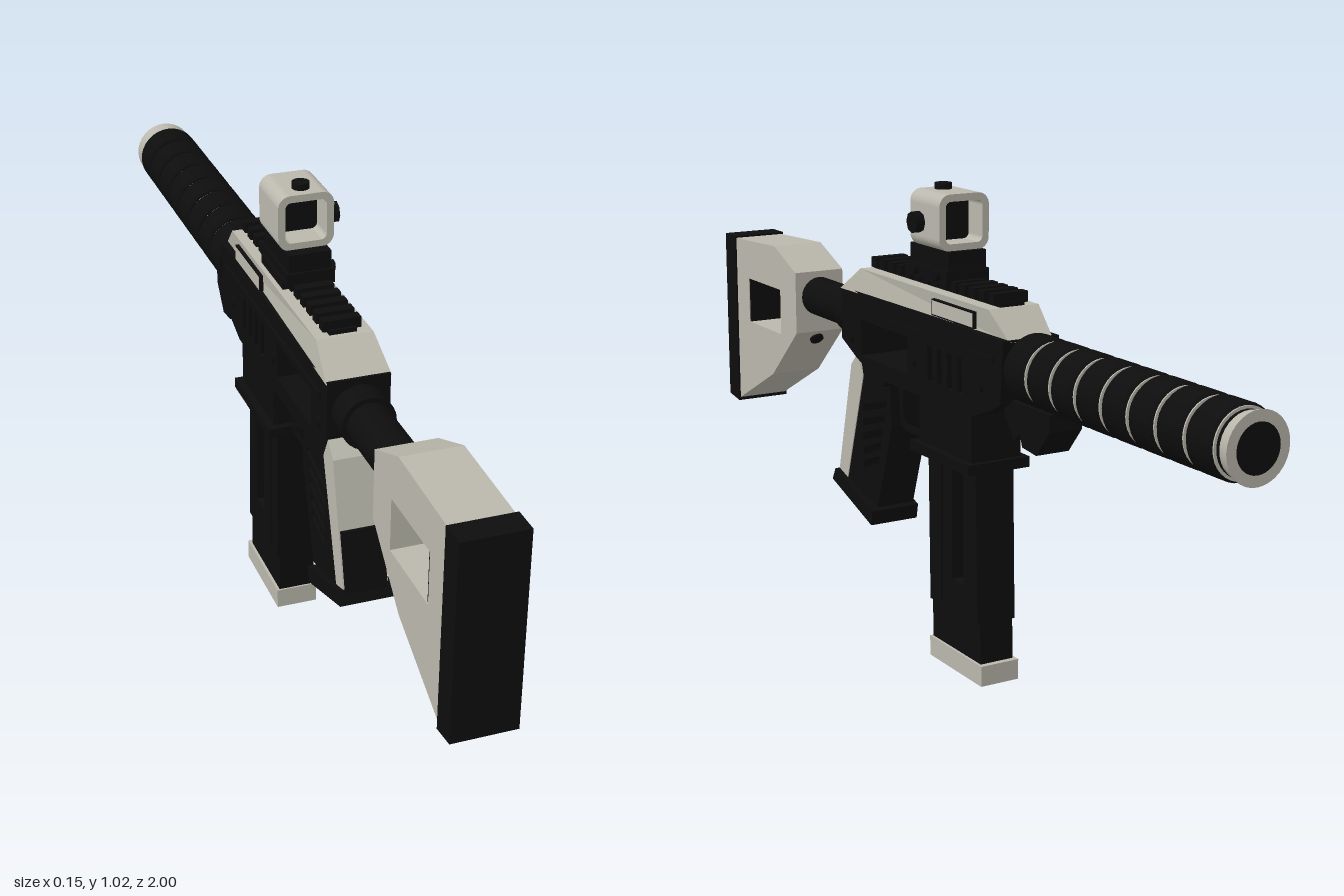
import * as THREE from 'three';

const black = new THREE.MeshStandardMaterial({ color: 0x0d0d0d });
black.name = 'matteBlack';
const light = new THREE.MeshStandardMaterial({ color: 0xbab8ac });
light.name = 'stoneGrey';

export function createModel() {
  const root = new THREE.Group();
  root.name = 'toyBlaster';

  const add = (name, geo, mat, x = 0, y = 0, z = 0) => {
    const m = new THREE.Mesh(geo, mat);
    m.name = name;
    m.position.set(x, y, z);
    root.add(m);
    return m;
  };
  const box = (name, mat, w, y0, y1, z0, z1, x = 0) =>
    add(name, new THREE.BoxGeometry(w, y1 - y0, z1 - z0), mat, x, (y0 + y1) / 2, (z0 + z1) / 2);
  // Side profile given as [z, y] points, extruded across x
  const slab = (w, pts, holes = []) => {
    const v = (a) => a.map(([z, y]) => new THREE.Vector2(z, y));
    const s = new THREE.Shape(v(pts));
    holes.forEach((h) => s.holes.push(new THREE.Path(v(h))));
    const g = new THREE.ExtrudeGeometry(s, { depth: w, bevelEnabled: false });
    return g.translate(0, 0, -w / 2).rotateY(-Math.PI / 2);
  };
  const rect = (z0, z1, y0, y1) => [[z0, y0], [z1, y0], [z1, y1], [z0, y1]];
  const rod = (name, mat, r0, r1, z0, z1, y, sides = 24) =>
    add(name, new THREE.CylinderGeometry(r0, r1, z1 - z0, sides).rotateX(-Math.PI / 2), mat, 0, y, (z0 + z1) / 2);

  // Shoulder stock with a window, dark lining and pad
  add('stock', slab(0.122, [[0.95, 0.375], [0.95, 0.78], [0.727, 0.79], [0.615, 0.743], [0.615, 0.6], [0.75, 0.476]],
    [rect(0.70, 0.877, 0.583, 0.69)]), light);
  box('stockWindowLining', black, 0.118, 0.584, 0.689, 0.87, 0.8775);
  add('buttPad', slab(0.13, [[0.945, 0.37], [1, 0.378], [1, 0.785], [0.945, 0.785]]), black);
  rod('stockLatch', black, 0.015, 0.015, 0.685, 0.72, 0.637, 12);
  const release = rod('stockRelease', black, 0.016, 0.016, -0.02, 0.02, 0, 12);
  release.position.set(0, 0.59, 0.645);
  release.rotation.x = -0.75;

  // Stock tube and collar
  rod('stockTube', black, 0.045, 0.045, 0.42, 0.63, 0.684);
  rod('stockCollar', black, 0.055, 0.055, 0.365, 0.432, 0.684);

  // Receiver with a long window and four vents
  const vents = [-0.02, -0.06, -0.1, -0.14].map((z) =>
    [[z - 0.01, 0.615], [z + 0.009, 0.615], [z + 0.011, 0.69], [z - 0.008, 0.69]]);
  add('receiver', slab(0.128, [[0.375, 0.752], [0.375, 0.635], [0.31, 0.605], [0.19, 0.56], [0.17, 0.575], [0.035, 0.575],
    [-0.18, 0.575], [-0.26, 0.605], [-0.295, 0.625], [-0.305, 0.752]],
    [rect(0.075, 0.285, 0.612, 0.692), ...vents]), black);
  for (const s of [1, -1]) {
    box('receiverRidge', black, 0.006, 0.7, 0.715, -0.27, 0.34, s * 0.066);
    for (const z of [0.33, 0.05, -0.22]) {
      add('receiverPin', new THREE.CylinderGeometry(0.012, 0.012, 0.01, 12).rotateZ(Math.PI / 2), black, s * 0.065, 0.645, z);
    }
  }

  // Upper cover, narrowed toward the top and the muzzle end
  const cover = slab(0.132, [[0.375, 0.748], [-0.305, 0.748], [-0.24, 0.803], [0.295, 0.803]]);
  const p = cover.attributes.position;
  for (let i = 0; i < p.count; i++) {
    const k = p.getY(i) > 0.78 ? 0.88 : p.getZ(i) < -0.3 ? 0.75 : 1;
    p.setX(i, p.getX(i) * k);
  }
  cover.computeVertexNormals();
  add('upperCover', cover, light);
  for (const s of [1, -1]) {
    box('coverInsetFrame', black, 0.008, 0.757, 0.791, -0.195, -0.03, s * 0.0615);
    box('coverInset', light, 0.008, 0.76, 0.788, -0.192, -0.033, s * 0.0625);
  }

  // Toothed top rail
  box('railBase', black, 0.056, 0.8, 0.812, -0.235, 0.285);
  for (let i = 0; i < 14; i++) {
    const z = 0.268 - i * 0.0375;
    box('railTooth', black, 0.078, 0.808, 0.83, z - 0.011, z + 0.011);
  }

  // Sight mount
  box('sightClamp', black, 0.1, 0.82, 0.85, -0.065, 0.1);
  box('sightRiser', black, 0.088, 0.845, 0.888, -0.062, 0.095);
  for (const z of [-0.03, 0.06]) {
    add('clampBolt', new THREE.CylinderGeometry(0.012, 0.012, 0.02, 8).rotateZ(Math.PI / 2), black, 0.052, 0.838, z);
  }
  box('clampJaw', black, 0.012, 0.812, 0.832, -0.05, 0.085, -0.048);

  // Sight housing: rounded square tube with dark lens and knobs
  const roundRect = (S, h, r) => {
    const s = new S();
    s.moveTo(-h + r, -h);
    for (const [x, y, a] of [[1, -1, -1], [1, 1, 0], [-1, 1, 1], [-1, -1, 2]]) {
      s.absarc(x * (h - r), y * (h - r), r, a * Math.PI / 2, (a + 1) * Math.PI / 2, false);
    }
    return s;
  };
  const frame = roundRect(THREE.Shape, 0.058, 0.025);
  frame.holes.push(roundRect(THREE.Path, 0.043, 0.012));
  add('sightHousing', new THREE.ExtrudeGeometry(frame, { depth: 0.12, bevelEnabled: false, curveSegments: 6 }), light, 0, 0.945, -0.05);
  box('sightLens', black, 0.088, 0.902, 0.988, 0.005, 0.012);
  add('topKnob', new THREE.CylinderGeometry(0.018, 0.018, 0.02, 12), black, 0, 1.006, 0.035);
  add('sideKnob', new THREE.CylinderGeometry(0.022, 0.022, 0.025, 8).rotateZ(Math.PI / 2), black, 0.065, 0.94, 0.03);

  // Ringed barrel shroud with pale front faces on each ring
  rod('barrelCore', black, 0.06, 0.06, -0.98, -0.29, 0.695, 32);
  const rings = 8, pitch = 0.0825;
  for (let i = 0; i < rings; i++) {
    const z1 = -0.312 - i * pitch, z0 = z1 - pitch + 0.011;
    const pts = [[0.056, 0], [0.065, 0], [0.07, 0.006], [0.07, z1 - z0 - 0.006], [0.065, z1 - z0], [0.056, z1 - z0]];
    const g = new THREE.LatheGeometry(pts.map(([r, y]) => new THREE.Vector2(r, y)), 32).rotateX(Math.PI / 2).toNonIndexed();
    g.computeVertexNormals();
    add('barrelRing', g, black, 0, 0.695, z0);
    rod('ringFace', light, 0.0655, 0.0655, z0 - 0.003, z0, 0.695, 32);
  }
  // Muzzle cap and bore
  rod('muzzleCap', light, 0.067, 0.06, -0.999, -0.972, 0.695, 32);
  rod('muzzleBore', black, 0.046, 0.046, -1, -0.995, 0.695, 32);

  // Small accessory under the barrel
  add('underBarrelBlock', slab(0.075, [[-0.26, 0.63], [-0.275, 0.59], [-0.305, 0.552], [-0.325, 0.57], [-0.335, 0.545],
    [-0.385, 0.54], [-0.43, 0.595], [-0.43, 0.63]]), black);

  // Magazine well, flange and trigger guard
  box('magazineWell', black, 0.116, 0.46, 0.6, -0.178, 0.035);
  box('wellFlange', black, 0.146, 0.455, 0.477, -0.19, 0.05);
  add('triggerGuard', slab(0.045, [[0.19, 0.59], [0.185, 0.48], [0.16, 0.465], [0.03, 0.465], [0.03, 0.59]],
    [[[0.172, 0.565], [0.17, 0.495], [0.155, 0.483], [0.042, 0.483], [0.042, 0.565]]]), black);
  add('trigger', slab(0.025, [[0.115, 0.57], [0.102, 0.53], [0.11, 0.495], [0.095, 0.498], [0.082, 0.525], [0.085, 0.57]]), black);

  // Magazine with a see-through slot, thicker sleeve and pale foot
  const slot = rect(-0.125, -0.078, 0.2, 0.449);
  add('magazineSleeve', slab(0.09, [[0.02, 0.46], [0.013, 0.13], [-0.182, 0.13], [-0.172, 0.46]], [slot]), black);
  add('magazineLower', slab(0.078, [[0.013, 0.135], [0.011, 0.04], [-0.186, 0.04], [-0.182, 0.135]]), black);
  box('magazineFoot', light, 0.09, 0, 0.044, -0.198, 0.015);
  for (const s of [1, -1]) box('magazineRib', black, 0.006, 0.14, 0.45, -0.04, -0.02, s * 0.046);

  // Pistol grip with slanted cut-outs
  const cuts = [0, 1, 2, 3, 4].map((k) => {
    const y = 0.345 + k * 0.033, z = 0.24 - k * 0.009;
    return [[0.315, y], [z, y + 0.03], [z, y + 0.046], [0.315, y + 0.016]];
  });
  add('grip', slab(0.09, [[0.325, 0.61], [0.19, 0.58], [0.182, 0.47], [0.25, 0.27], [0.392, 0.3], [0.31, 0.557]], cuts), black);
  add('gripBackStrap', slab(0.094, [[0.31, 0.557], [0.392, 0.3], [0.432, 0.31], [0.365, 0.575], [0.335, 0.605]]), light);
  add('gripBackPlate', slab(0.088, [[0.43, 0.31], [0.437, 0.31], [0.406, 0.435], [0.399, 0.435]]), black);
  add('gripFoot', slab(0.116, [[0.445, 0.29], [0.43, 0.318], [0.25, 0.262], [0.257, 0.228]]), black);

  return root;
}
